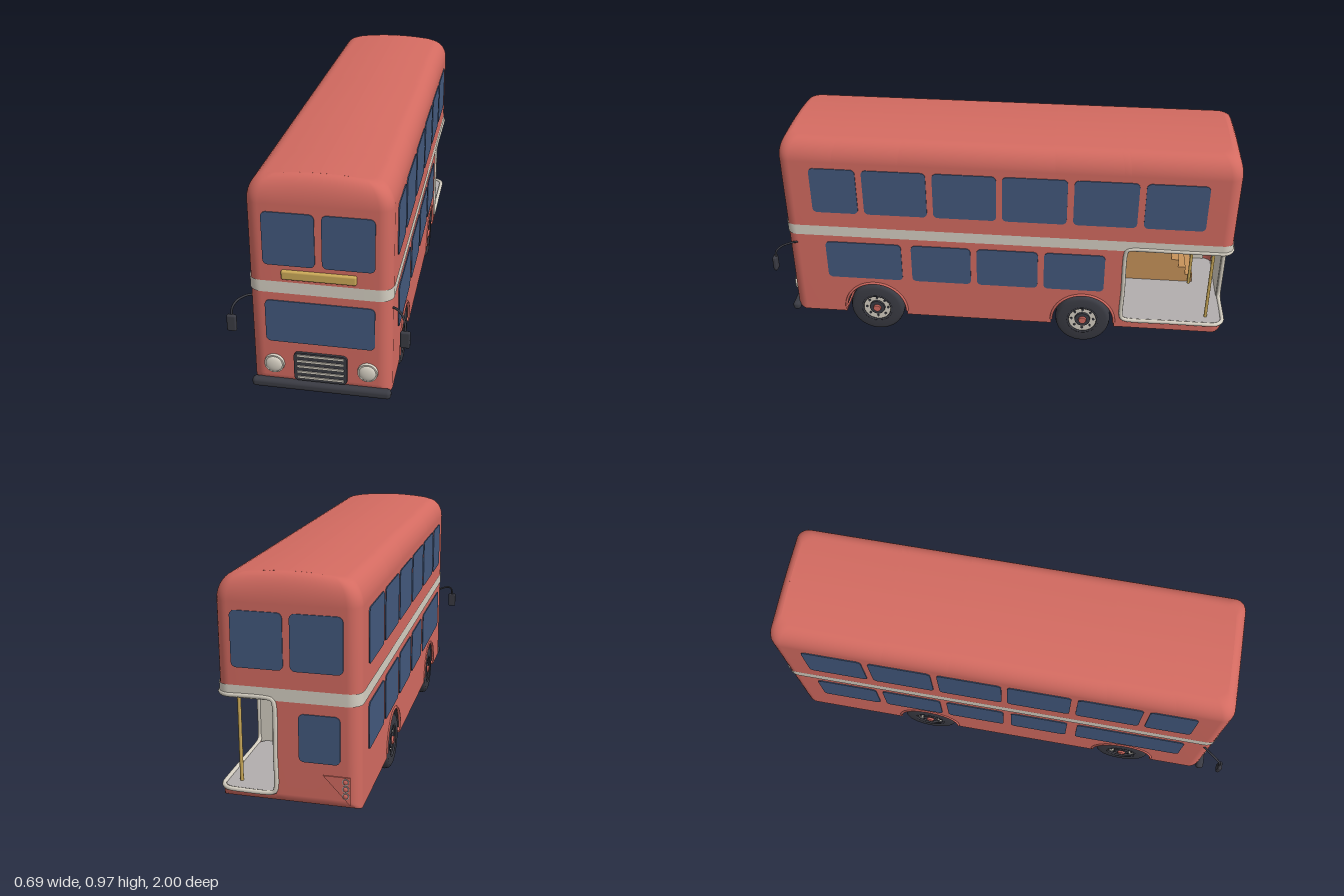
import * as THREE from 'three';
import { RoundedBoxGeometry } from 'three/addons/geometries/RoundedBoxGeometry.js';

const W = 0.268, FRONT = 0.945, REAR = -0.985, R = 0.05, BASE = 0.1, DECK = 0.51;
const AXLES = [-0.365, 0.57], HUB_Y = 0.122, ARCH = 0.14;
const OPEN_Z = -0.535, OPEN_X = 0.05; // limits of the open rear platform

const paint = (name, color, side = THREE.FrontSide) => {
  const m = new THREE.MeshStandardMaterial({ color, side });
  m.name = name;
  return m;
};

export function createModel() {
  const red = paint('red paint', 0xd46b61, THREE.DoubleSide);
  const cream = paint('cream paint', 0xd6d0c3, THREE.DoubleSide);
  const glass = paint('blue glass', 0x43597d);
  const dark = paint('dark rubber', 0x3a3b43, THREE.DoubleSide);
  const gold = paint('gold', 0xccaa58);
  const wood = paint('stair wood', 0xc8935a);
  const grey = paint('floor grey', 0xb2aeae);

  const bus = new THREE.Group();
  bus.name = 'doubleDeckBus';
  const add = (name, geo, mat, x = 0, y = 0, z = 0, parent = bus) => {
    const m = new THREE.Mesh(geo, mat);
    m.name = name;
    m.position.set(x, y, z);
    parent.add(m);
    return m;
  };
  const box = (name, mat, x0, x1, y0, y1, z0, z1) =>
    add(name, new THREE.BoxGeometry(x1 - x0, y1 - y0, z1 - z0), mat, (x0 + x1) / 2, (y0 + y1) / 2, (z0 + z1) / 2);

  // Rounded footprint, walked from the doorway round the front to the rear
  const arc = (sx, sz, a0) => Array.from({ length: 8 }, (_, i) => {
    const a = a0 + (i / 7) * Math.PI / 2;
    return [sx * (W - R) + R * Math.cos(a), (sz > 0 ? FRONT - R : REAR + R) + R * Math.sin(a)];
  });
  const sideZ = [OPEN_Z];
  for (const c of AXLES) {
    sideZ.push(c - ARCH - 0.001);
    for (let i = 0; i <= 20; i++) sideZ.push(c - ARCH * Math.cos(i / 20 * Math.PI));
    sideZ.push(c + ARCH + 0.001);
  }
  const across = [0.75, 0.5, 0.25, 0, -0.25, -0.5, -0.75].map(k => k * (W - R));
  const P = Math.PI / 2;
  const mainPath = [...sideZ.map(z => [W, z]), ...arc(1, 1, 0), ...across.map(x => [x, FRONT]), ...arc(-1, 1, P),
    ...[...sideZ].reverse().map(z => [-W, z]), ...arc(-1, -1, 2 * P),
    ...[-0.15, -0.1, -0.05, 0, OPEN_X].map(x => [x, REAR])];
  const doorPath = [[OPEN_X, REAR], [0.1, REAR], [0.16, REAR], ...arc(1, -1, 3 * P), [W, OPEN_Z]];
  const ring = [...mainPath, ...doorPath.slice(1)];

  // Surface through rows of points; point(column, row) gives the position
  const grid = (path, rows, point) => {
    const pos = [], idx = [], n = path.length;
    for (let j = 0; j < rows; j++) path.forEach(p => pos.push(...point(p, j)));
    for (let j = 0; j < rows - 1; j++) for (let i = 0; i < n - 1; i++) {
      const a = j * n + i, b = a + 1, c = a + n, d = c + 1;
      idx.push(a, c, d, a, d, b);
    }
    const g = new THREE.BufferGeometry();
    g.setAttribute('position', new THREE.Float32BufferAttribute(pos, 3));
    g.setIndex(idx);
    g.computeVertexNormals();
    return g;
  };

  // Lower walls: cut by the wheel arches, rounded under at the two ends
  const floorOf = ([x, z]) => {
    const c = AXLES.find(a => Math.abs(z - a) <= ARCH + 1e-6);
    return c === undefined || Math.abs(x) < W - 1e-6 ? BASE : HUB_Y + Math.sqrt(Math.max(0, ARCH ** 2 - (z - c) ** 2));
  };
  const wall = (path, top, rows) => grid(path, rows.length, (p, j) => {
    const b = floorOf(p), y = b + (top - b) * rows[j], u = Math.max(0, 0.04 - (y - BASE));
    const inset = 0.04 - Math.sqrt(0.04 ** 2 - Math.min(u, 0.04) ** 2);
    return [p[0], y, Math.min(FRONT - inset, Math.max(REAR + inset, p[1]))];
  });
  add('lowerWalls', wall(mainPath, DECK, [0, 0.006, 0.02, 0.045, 0.07, 0.1, 1]), red);
  add('platformSill', wall(doorPath, 0.14, [0, 0.06, 0.2, 0.45, 0.7, 1]), red);

  // Upper deck and crowned roof
  const levels = [[DECK, 1, 0, 0], [0.7, 1, 0, 0], [0.865, 1, 0, 0]];
  for (let i = 1; i <= 9; i++) {
    const t = i / 9 * P;
    levels.push([0.865 + 0.095 * Math.sin(t), 1 - 0.28 * (1 - Math.cos(t)), 0.05 * (1 - Math.cos(t)), Math.sin(t)]);
  }
  for (const s of [0.55, 0.36, 0.18, 0]) levels.push([0.96, s, 0.05, 1]);
  const mid = (FRONT + REAR) / 2, half = (FRONT - REAR) / 2;
  add('upperDeck', grid(ring, levels.length, ([px, pz], j) => {
    const [y, s, dz, k] = levels[j], x = px * s;
    return [x, y + k * 0.014 * Math.max(0, 1 - (x / 0.193) ** 2), mid + (pz - mid) * (half - dz) / half];
  }), red);
  add('creamBand', grid(ring, 2, ([x, z], j) => [x * 1.011, j ? 0.555 : 0.507, mid + (z - mid) * 1.003]), cream);

  // Underside and full-width wheel wells
  [[-0.945, -0.505], [-0.225, 0.43], [0.71, 0.905]].forEach(([a, b]) => box('underside', red, -W + 0.001, W - 0.001, BASE, 0.106, a, b));
  for (const z of AXLES) {
    const well = new THREE.CylinderGeometry(ARCH, ARCH, 2 * W - 0.004, 24, 1, true, 0, Math.PI);
    add('wheelWell', well.rotateZ(P), dark, 0, HUB_Y, z);
    for (const s of [-1, 1]) add('archLip', new THREE.TorusGeometry(ARCH, 0.006, 6, 28, Math.PI).rotateY(P), red, s * W, HUB_Y, z);
  }

  // Rounded flat plates for windows and panels
  const rounded = (w, h, r) => {
    const s = new THREE.Shape(), x = w / 2, y = h / 2;
    s.absarc(x - r, y - r, r, 0, P);
    s.absarc(r - x, y - r, r, P, 2 * P);
    s.absarc(r - x, r - y, r, 2 * P, 3 * P);
    s.absarc(x - r, r - y, r, 3 * P, 4 * P);
    return s;
  };
  const slab = (w, h, r, depth) => new THREE.ExtrudeGeometry(rounded(w, h, r), { depth, bevelEnabled: false, curveSegments: 5 });
  const pane = (name, a, b, y0, y1, face) => {
    const m = add(name, slab(Math.abs(b - a), y1 - y0, 0.02, 0.006), glass);
    const c = (a + b) / 2, y = (y0 + y1) / 2;
    if (face === 'front') m.position.set(c, y, FRONT - 0.002);
    if (face === 'rear') m.position.set(c, y, REAR + 0.002);
    if (face === 'left') m.position.set(W - 0.002, y, c);
    if (face === 'right') m.position.set(-W + 0.002, y, c);
    m.rotation.y = { front: 0, rear: Math.PI, left: P, right: -P }[face];
  };
  const upper = [[0.615, 0.813], [0.316, 0.588], [0.02, 0.289], [-0.278, -0.005], [-0.572, -0.305], [-0.856, -0.6]];
  for (const f of ['left', 'right']) upper.forEach(([a, b]) => pane('upperSideWindow', a, b, 0.625, 0.837, f));
  [[0.44, 0.775], [0.134, 0.396], [-0.16, 0.107], [-0.45, -0.187]].forEach(([a, b]) => pane('lowerSideWindow', a, b, 0.29, 0.475, 'left'));
  [[0.335, 0.815], [0.035, 0.29], [-0.26, 0], [-0.555, -0.29], [-0.855, -0.585]].forEach(([a, b]) => pane('lowerSideWindow', a, b, 0.29, 0.475, 'right'));
  for (const f of ['front', 'rear']) for (const s of [-1, 1]) pane('upperEndWindow', s * 0.013, s * 0.207, 0.623, 0.835, f);
  pane('windscreen', -0.207, 0.207, 0.295, 0.473, 'front');
  pane('rearWindow', -0.195, -0.04, 0.28, 0.465, 'rear');

  // Front fittings
  add('destinationPanel', new RoundedBoxGeometry(0.28, 0.038, 0.024, 3, 0.008), gold, 0, 0.586, FRONT);
  add('grille', slab(0.205, 0.124, 0.018, 0.012), dark, 0, 0.194, FRONT - 0.002);
  for (let i = 0; i < 5; i++) add('grilleBar', new THREE.BoxGeometry(0.18, 0.009, 0.006), cream, 0, 0.148 + i * 0.024, FRONT + 0.011);
  const bumper = new RoundedBoxGeometry(0.54, 0.038, 0.035, 4, 0.015);
  add('bumper', bumper, dark, 0, 0.106, 0.948);
  for (const s of [-1, 1]) {
    add('headlightRim', new THREE.CylinderGeometry(0.038, 0.04, 0.014, 28).rotateX(P), cream, s * 0.18, 0.195, FRONT + 0.004);
    add('headlightLens', new THREE.SphereGeometry(0.033, 24, 12).scale(1, 1, 0.35), cream, s * 0.18, 0.195, FRONT + 0.01);
    const arm = new THREE.CatmullRomCurve3([[0.262, 0.462, 0.9], [0.285, 0.468, 0.925], [0.31, 0.464, 0.96], [0.322, 0.445, 0.982], [0.324, 0.41, 0.988]]
      .map(([x, y, z]) => new THREE.Vector3(s * x, y, z)));
    add('mirrorArm', new THREE.TubeGeometry(arm, 24, 0.0045, 8), dark);
    add('mirror', new RoundedBoxGeometry(0.037, 0.068, 0.018, 3, 0.007), dark, s * 0.324, 0.387, 0.991);
  }

  // Wheels: tyre, cream disc, dark ring, red cap and bolts
  const tyreGeo = w => new THREE.LatheGeometry([[0.066, -0.5], [0.105, -0.5], [0.118, -0.38], [0.122, -0.2], [0.122, 0.2], [0.118, 0.38], [0.105, 0.5], [0.066, 0.5]]
    .map(([r, k]) => new THREE.Vector2(r, k * w)), 40).rotateZ(-P);
  const disc = (r0, r1, w) => new THREE.CylinderGeometry(r1, r0, w, 32).rotateZ(-P);
  AXLES.forEach((z, rear) => {
    for (const s of [-1, 1]) {
      const wheel = new THREE.Group();
      wheel.name = rear ? 'frontWheel' : 'rearWheel';
      wheel.position.set(s * 0.228, HUB_Y, z);
      wheel.rotation.y = s > 0 ? 0 : Math.PI;
      bus.add(wheel);
      add('tyre', tyreGeo(0.075), dark, 0, 0, 0, wheel);
      if (!rear) add('innerTyre', tyreGeo(0.055), dark, -0.05, 0, 0, wheel);
      add('wheelDisc', disc(0.067, 0.067, 0.05), cream, 0, 0, 0, wheel);
      add('rim', new THREE.TorusGeometry(0.066, 0.005, 8, 36).rotateY(P), dark, 0.034, 0, 0, wheel);
      add('hubRing', disc(0.036, 0.034, 0.016), dark, 0.026, 0, 0, wheel);
      add('hubCap', disc(0.021, 0.016, 0.02), red, 0.032, 0, 0, wheel);
      for (let i = 0; i < 8; i++) {
        const a = i / 8 * Math.PI * 2;
        add('wheelBolt', disc(0.005, 0.005, 0.008), dark, 0.026, 0.049 * Math.cos(a), 0.049 * Math.sin(a), wheel);
      }
    }
    box('axle', dark, -0.2, 0.2, HUB_Y - 0.015, HUB_Y + 0.015, z - 0.015, z + 0.015);
  });

  // Rear platform: floor, ceiling, linings and bulkhead
  const deck = (name, mat, y, h) => add(name, slab(0.524, 0.445, 0.045, h).rotateX(-P), mat, 0, y, (OPEN_Z - 0.98) / 2);
  deck('platformFloor', grey, 0.13, 0.012);
  deck('platformCeiling', cream, 0.505, 0.012);
  box('stairwell', dark, -0.25, -0.04, 0.502, 0.506, -0.82, -0.55);
  box('bulkhead', cream, -0.262, 0.264, 0.13, 0.51, OPEN_Z - 0.004, OPEN_Z + 0.008);
  box('bulkheadWindow', glass, 0.03, 0.2, 0.24, 0.45, OPEN_Z - 0.008, OPEN_Z - 0.002);
  box('sideLining', cream, -0.264, -0.258, 0.13, 0.51, -0.94, OPEN_Z);
  box('rearLining', cream, -0.225, OPEN_X, 0.13, 0.51, -0.981, -0.973);

  // Staircase rising towards the front
  const steps = 9, s0 = -0.87, run = 0.31 / steps, rise = 0.355 / steps;
  const stair = new THREE.Shape().moveTo(-s0, 0.142);
  for (let i = 0; i < steps; i++) {
    stair.lineTo(-s0 - i * run, 0.142 + (i + 1) * rise);
    stair.lineTo(-s0 - (i + 1) * run, 0.142 + (i + 1) * rise);
  }
  stair.lineTo(0.545, 0.5).lineTo(0.545, 0.142);
  add('staircase', new THREE.ExtrudeGeometry(stair, { depth: 0.2, bevelEnabled: false }).rotateY(P), wood, -0.255);

  // Grab pole and stair handrail
  const rod = (name, a, b, r) => {
    const p = new THREE.Vector3(...a), q = new THREE.Vector3(...b);
    add(name, new THREE.TubeGeometry(new THREE.LineCurve3(p, q), 1, r, 10), gold);
  };
  rod('grabPole', [0.21, 0.14, -0.912], [0.21, 0.51, -0.912], 0.007);
  rod('stairRail', [-0.045, 0.506, -0.715], [-0.045, 0.345, -0.855], 0.007);
  rod('stairRailPost', [-0.045, 0.35, -0.855], [-0.045, 0.14, -0.855], 0.007);

  // Cream trim following the opening round the corner
  const corner = arc(1, -1, 3 * P);
  const trim = [[W, 0.16, OPEN_Z], [W, 0.3, OPEN_Z], [W, 0.49, OPEN_Z], [W, 0.51, OPEN_Z - 0.007], [W, 0.516, OPEN_Z - 0.026], [W, 0.516, -0.75],
    ...[...corner].reverse().map(([x, z]) => [x, 0.516, z]), [0.076, 0.516, REAR], [0.057, 0.51, REAR], [OPEN_X, 0.49, REAR],
    [OPEN_X, 0.3, REAR], [OPEN_X, 0.165, REAR], [0.057, 0.147, REAR], [0.076, 0.141, REAR],
    ...corner.map(([x, z]) => [x, 0.141, z]), [W, 0.141, -0.75], [W, 0.141, OPEN_Z - 0.026], [W, 0.147, OPEN_Z - 0.007]];
  const trimCurve = new THREE.CatmullRomCurve3(trim.map(p => new THREE.Vector3(...p)), true);
  add('openingTrim', new THREE.TubeGeometry(trimCurve, 200, 0.009, 8, true), cream);

  // Tail lamp cluster on a triangular plate
  const tri = new THREE.Shape().moveTo(0.13, 0.235).lineTo(0.232, 0.235).lineTo(0.232, 0.125).closePath();
  add('tailPlate', new THREE.ExtrudeGeometry(tri, { depth: 0.005, bevelEnabled: false }).rotateY(Math.PI), red, 0, 0, REAR + 0.001);
  [0.218, 0.19, 0.162].forEach(y => {
    add('tailLampRim', new THREE.CylinderGeometry(0.013, 0.013, 0.008, 18).rotateX(P), grey, -0.215, y, REAR - 0.003);
    add('tailLamp', new THREE.SphereGeometry(0.01, 14, 8).scale(1, 1, 0.5), red, -0.215, y, REAR - 0.006);
  });
  return bus;
}
